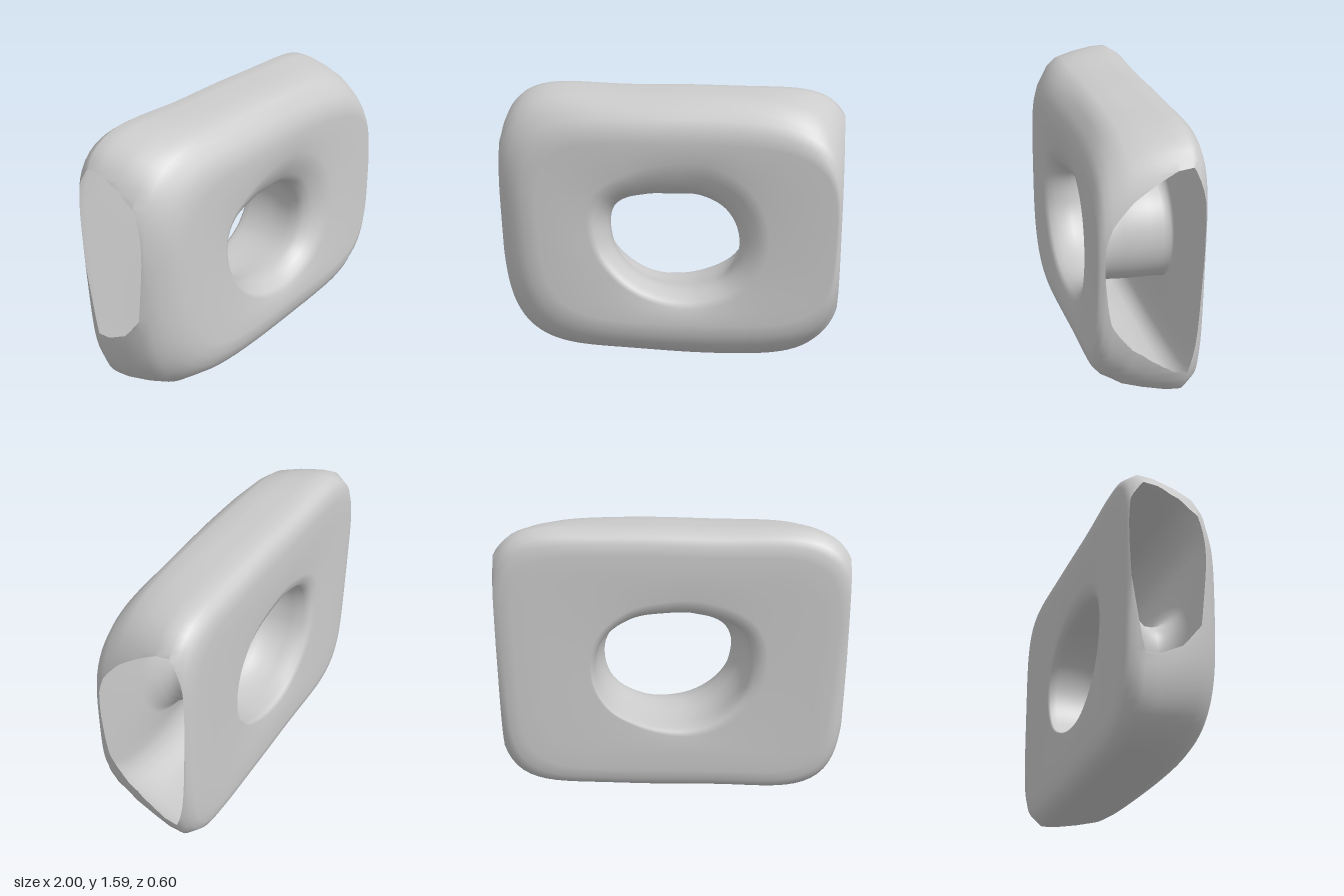
import * as THREE from 'three';
import { mergeVertices } from 'three/addons/utils/BufferGeometryUtils.js';

const SEG = 144;
const { clamp, lerp } = THREE.MathUtils;

// Hole radius every 30 degrees, counter-clockwise from +x
const HOLE_R = [0.39, 0.375, 0.325, 0.285, 0.32, 0.40, 0.37, 0.325, 0.30, 0.295, 0.32, 0.37];

// Point on the hole outline, widened by grow: more at the top, and skewed
// towards the right side at the back and the left side at the front
function holePoint(a, grow, z) {
  const f = (a / (Math.PI * 2)) * 12, i = Math.floor(f), t = f - i;
  const p = k => HOLE_R[(i + k + 12) % 12];
  const skew = z > 0.05 ? 0.3 : -0.65;
  const r = grow * (1 + 0.5 * Math.sin(a) + skew * Math.cos(a)) + 0.5 * (2 * p(0) + (p(1) - p(-1)) * t
    + (2 * p(-1) - 5 * p(0) + 4 * p(1) - p(2)) * t * t
    + (3 * p(0) - p(-1) - 3 * p(1) + p(2)) * t * t * t);
  return [0.03 + r * Math.cos(a), 0.745 + r * Math.sin(a)];
}

// Point on the rounded-rectangle outer outline at depth z, pulled in by inset
function outerPoint(a, inset, z) {
  const c = Math.cos(a), s = Math.sin(a);
  const front = clamp((z + 0.15) / 0.3, 0, 1);
  const n = lerp(5, 3.6, front); // rounder corners towards the front
  const hw = c > 0
    ? lerp(1.035, 1.025, front) + 0.03 * s - inset * lerp(1.1, 0.22, front)
    : 1.022 + 0.065 * s - inset * lerp(0.7, 1.1, front);
  const hh = 0.785 - inset;
  const r = Math.pow(Math.pow(Math.abs(c) / hw, n) + Math.pow(Math.abs(s) / hh, n), -1 / n);
  const x = r * c;
  const swell = 1 + 0.06 * x * x + 0.006 * Math.sin(7 * x + 1); // fuller corners, uneven edge
  return [x, 0.818 + r * s * swell];
}

// Cross-section rows: [z, 0 = hole / 1 = outer edge, offset]
const ROWS = [
  [0.07, 0, 0], [0.13, 0, 0], [0.17, 0, 0.012], [0.21, 0, 0.04], [0.245, 0, 0.085], [0.27, 0, 0.135],
  [0.285, 1, 0.25], [0.272, 1, 0.175], [0.247, 1, 0.12], [0.21, 1, 0.075], [0.165, 1, 0.038],
  [0.11, 1, 0.01], [0, 1, 0], [-0.12, 1, -0.005], [-0.2, 1, -0.005],
  [-0.235, 1, 0.015], [-0.26, 1, 0.035], [-0.28, 1, 0.07], [-0.29, 1, 0.13], [-0.288, 1, 0.25],
  [-0.284, 0, 0.12], [-0.27, 0, 0.085], [-0.235, 0, 0.067], [-0.16, 0, 0.062], [-0.07, 0, 0.053], [0, 0, 0.03],
];

function skinPoint(i, j) {
  const a = ((i % SEG) / SEG) * Math.PI * 2;
  const [z, outer, off] = ROWS[j % ROWS.length];
  const [x, y] = outer ? outerPoint(a, off, z) : holePoint(a, off, z);
  // Gentle waves in the front and back faces
  const wave = z > 0.2 ? 0.008 * Math.sin(5 * x + 3) - 0.015 * (y - 0.8)
    : z < -0.25 ? -0.012 * x * x : 0;
  return new THREE.Vector3(x, y, z + wave);
}

// Keep the part of a polygon where side * x <= 1
function clipEnd(poly, side) {
  const out = [];
  poly.forEach((p, k) => {
    const q = poly[(k + 1) % poly.length], dp = 1 - side * p.x, dq = 1 - side * q.x;
    if (dp >= 0) out.push(p);
    if (dp * dq < 0) out.push(p.clone().lerp(q, dp / (dp - dq)));
  });
  return out;
}

// Thick ring skin, cut off flat and left open at both ends
function ringGeometry() {
  const pos = [];
  for (let i = 0; i < SEG; i++) {
    for (let j = 0; j < ROWS.length; j++) {
      const [a, b, c, d] = [skinPoint(i, j), skinPoint(i, j + 1), skinPoint(i + 1, j + 1), skinPoint(i + 1, j)];
      for (const tri of [[a, b, c], [a, c, d]]) {
        const poly = clipEnd(clipEnd(tri, 1), -1);
        for (let k = 2; k < poly.length; k++) {
          for (const p of [poly[0], poly[k - 1], poly[k]]) pos.push(p.x, p.y, p.z);
        }
      }
    }
  }
  const soup = new THREE.BufferGeometry();
  soup.setAttribute('position', new THREE.Float32BufferAttribute(pos, 3));
  const g = mergeVertices(soup, 1e-5);
  g.computeVertexNormals();
  return g;
}

export function createModel() {
  const group = new THREE.Group();
  const mat = new THREE.MeshStandardMaterial({ color: 0xcccccc, side: THREE.DoubleSide });
  const ring = new THREE.Mesh(ringGeometry(), mat);
  ring.name = 'roundedBlockWithHole';
  group.add(ring);
  return group;
}
